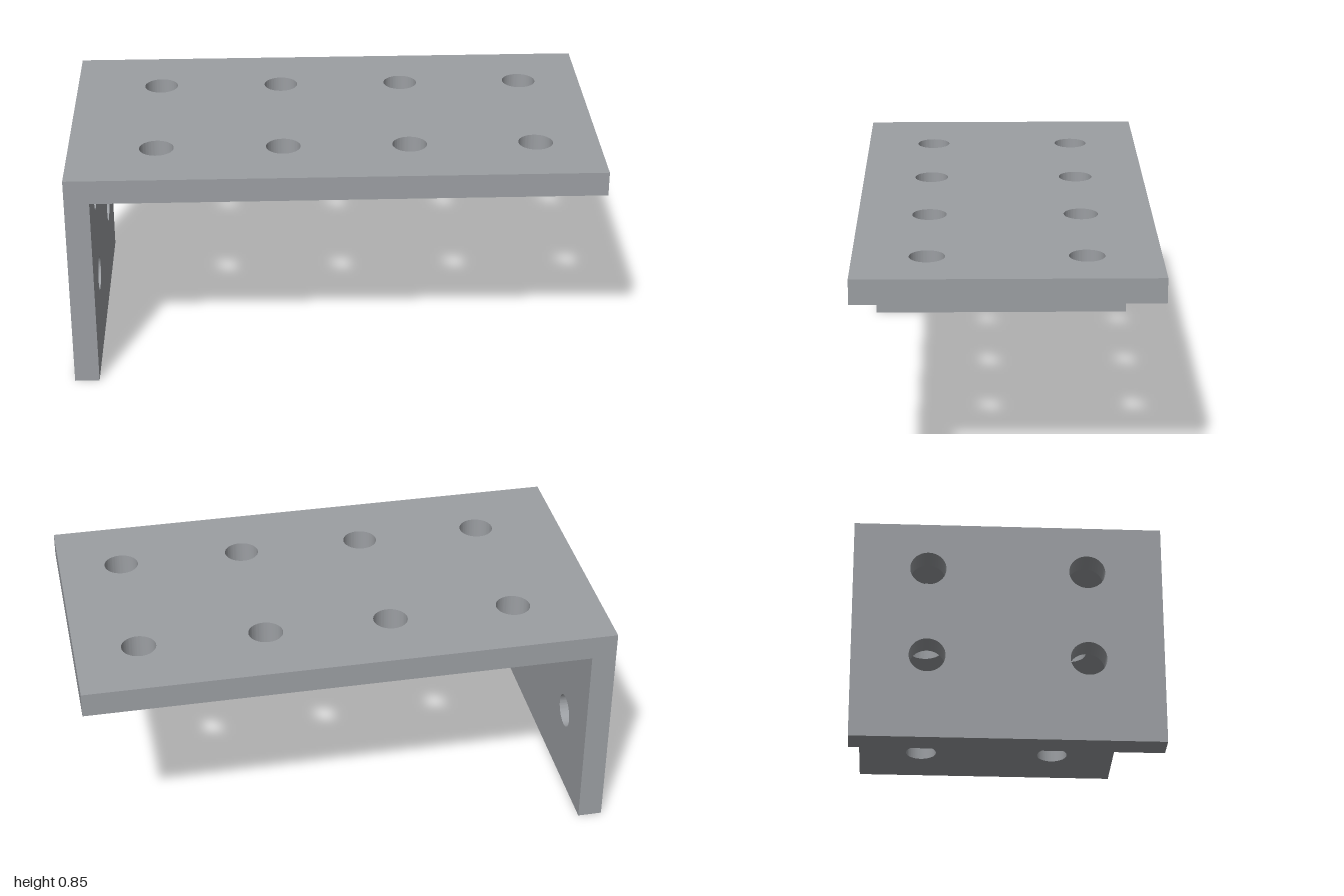
import * as THREE from 'three';
import { toCreasedNormals } from 'three/addons/utils/BufferGeometryUtils.js';

const HEIGHT = 0.85, THICK = 0.093, HALF_DEPTH = 0.555, HOLE_R = 0.065;

// Flat rectangular plate pierced by round holes, extruded along +z
function drilledPlate(x0, x1, y0, y1, holes) {
  const shape = new THREE.Shape([
    new THREE.Vector2(x0, y0), new THREE.Vector2(x1, y0),
    new THREE.Vector2(x1, y1), new THREE.Vector2(x0, y1),
  ]);
  for (const [x, y] of holes) {
    shape.holes.push(new THREE.Path().absarc(x, y, HOLE_R, 0, Math.PI * 2, true));
  }
  const geo = new THREE.ExtrudeGeometry(shape, { depth: THICK, bevelEnabled: false, curveSegments: 48 });
  return toCreasedNormals(geo, Math.PI / 6);
}

// Every pairing of the two lists of coordinates
const grid = (us, vs) => us.flatMap(u => vs.map(v => [u, v]));

export function createModel() {
  const group = new THREE.Group();
  group.name = 'angleBracket';
  const steel = new THREE.MeshStandardMaterial({ color: 0x9c9fa3 });
  steel.name = 'steelGrey';

  // Long horizontal flange with eight holes
  const top = drilledPlate(-1, 1, -HALF_DEPTH, HALF_DEPTH,
    grid([-0.668, -0.192, 0.284, 0.76], [-0.286, 0.286]));
  top.rotateX(-Math.PI / 2);
  top.translate(0, HEIGHT - THICK, 0);
  const topMesh = new THREE.Mesh(top, steel);
  topMesh.name = 'horizontalFlange';

  // Short upright flange with four holes
  const side = drilledPlate(-HALF_DEPTH, HALF_DEPTH, 0, HEIGHT - THICK,
    grid([-0.286, 0.286], [0.32, 0.669]));
  side.rotateY(Math.PI / 2);
  side.translate(-1, 0, 0);
  const sideMesh = new THREE.Mesh(side, steel);
  sideMesh.name = 'verticalFlange';

  group.add(topMesh, sideMesh);
  return group;
}
